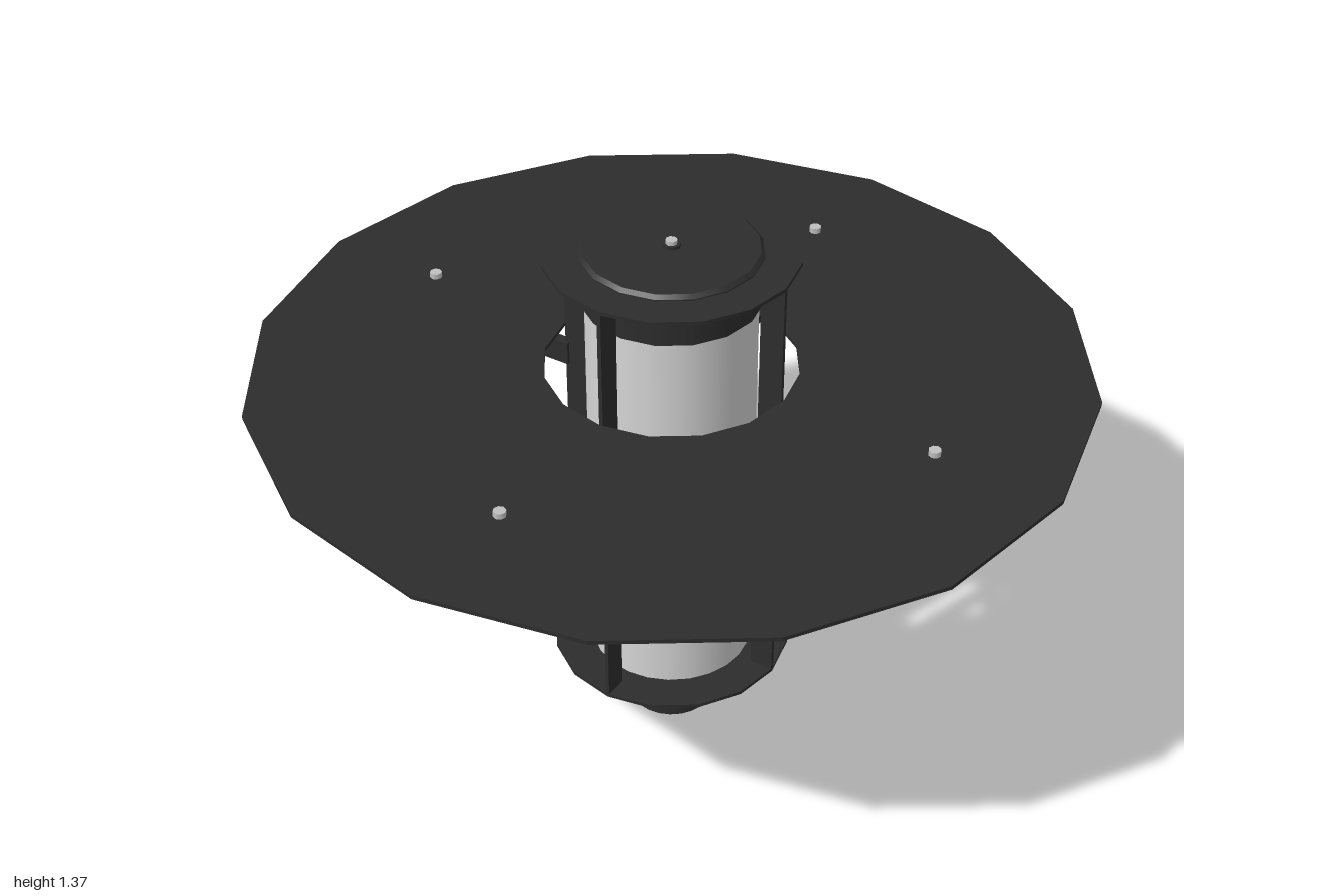
import * as THREE from 'three';

export function createModel() {
  const model = new THREE.Group();
  model.name = 'poleLamp';
  const material = (name, color) => {
    const m = new THREE.MeshStandardMaterial({ color });
    m.name = name;
    return m;
  };
  const black = material('blackMetal', 0x2d2d2d);
  const white = material('whiteUnderside', 0xb4b4b4);
  const glass = material('frostedGlass', 0xd6d6d6);
  const steel = material('screwSteel', 0xc0c0c0);

  const add = (name, geometry, mat, x = 0, y = 0, z = 0, parent = model) => {
    const mesh = new THREE.Mesh(geometry, mat);
    mesh.name = name;
    mesh.position.set(x, y, z);
    parent.add(mesh);
    return mesh;
  };
  // Upright cylinder given by its bottom and top heights
  const post = (name, r, y0, y1, mat, sides = 16, x = 0, parent = model) =>
    add(name, new THREE.CylinderGeometry(r, r, y1 - y0, sides), mat, x, (y0 + y1) / 2, 0, parent);

  // Pole socket, end plates and glass
  post('poleSocket', 0.109, 0, 0.2, black, 24);
  post('basePlate', 0.3, 0.2, 0.209, black);
  post('glassTube', 0.203, 0.209, 1.23, glass, 24);
  post('topPlate', 0.3, 1.334, 1.343, black);

  // Cap with a softened top edge
  const capProfile = [[0, 1.225], [0.215, 1.225], [0.215, 1.225], [0.215, 1.346],
    [0.215, 1.346], [0.206, 1.355], [0.206, 1.355], [0, 1.355]];
  add('cap', new THREE.LatheGeometry(capProfile.map(([r, y]) => new THREE.Vector2(r, y)), 16), black);
  post('capScrewCollar', 0.022, 1.355, 1.362, black, 8);
  post('capScrew', 0.014, 1.362, 1.372, steel, 8);

  // Wide reflector disc with a centre hole
  const ringPoints = (r) => Array.from({ length: 16 }, (_, i) =>
    new THREE.Vector2(r * Math.cos(i * Math.PI / 8), r * Math.sin(i * Math.PI / 8)));
  const disc = new THREE.Shape(ringPoints(1));
  disc.holes.push(new THREE.Path(ringPoints(0.304)));
  const discGeometry = new THREE.ExtrudeGeometry(disc, { depth: 0.01, bevelEnabled: false });
  discGeometry.rotateX(-Math.PI / 2);
  add('reflectorDisc', discGeometry, black, 0, 1.03, 0);
  const underside = new THREE.ShapeGeometry(disc);
  underside.rotateX(Math.PI / 2);
  add('reflectorUnderside', underside, white, 0, 1.028, 0);

  // Four fins, each with an arm, an upright and a screw
  for (let i = 0; i < 4; i++) {
    const support = new THREE.Group();
    support.name = 'support' + (i + 1);
    support.rotation.y = i * Math.PI / 2;
    model.add(support);
    add('fin', new THREE.BoxGeometry(0.06, 1.128, 0.01), black, 0.27, 0.772, 0, support);
    add('arm', new THREE.BoxGeometry(0.41, 0.06, 0.026), black, 0.495, 0.96, 0, support);
    add('upright', new THREE.BoxGeometry(0.028, 0.1, 0.028), black, 0.689, 0.98, 0, support);
    post('armScrew', 0.015, 1.04, 1.054, steel, 8, 0.69, support);
  }
  return model;
}
